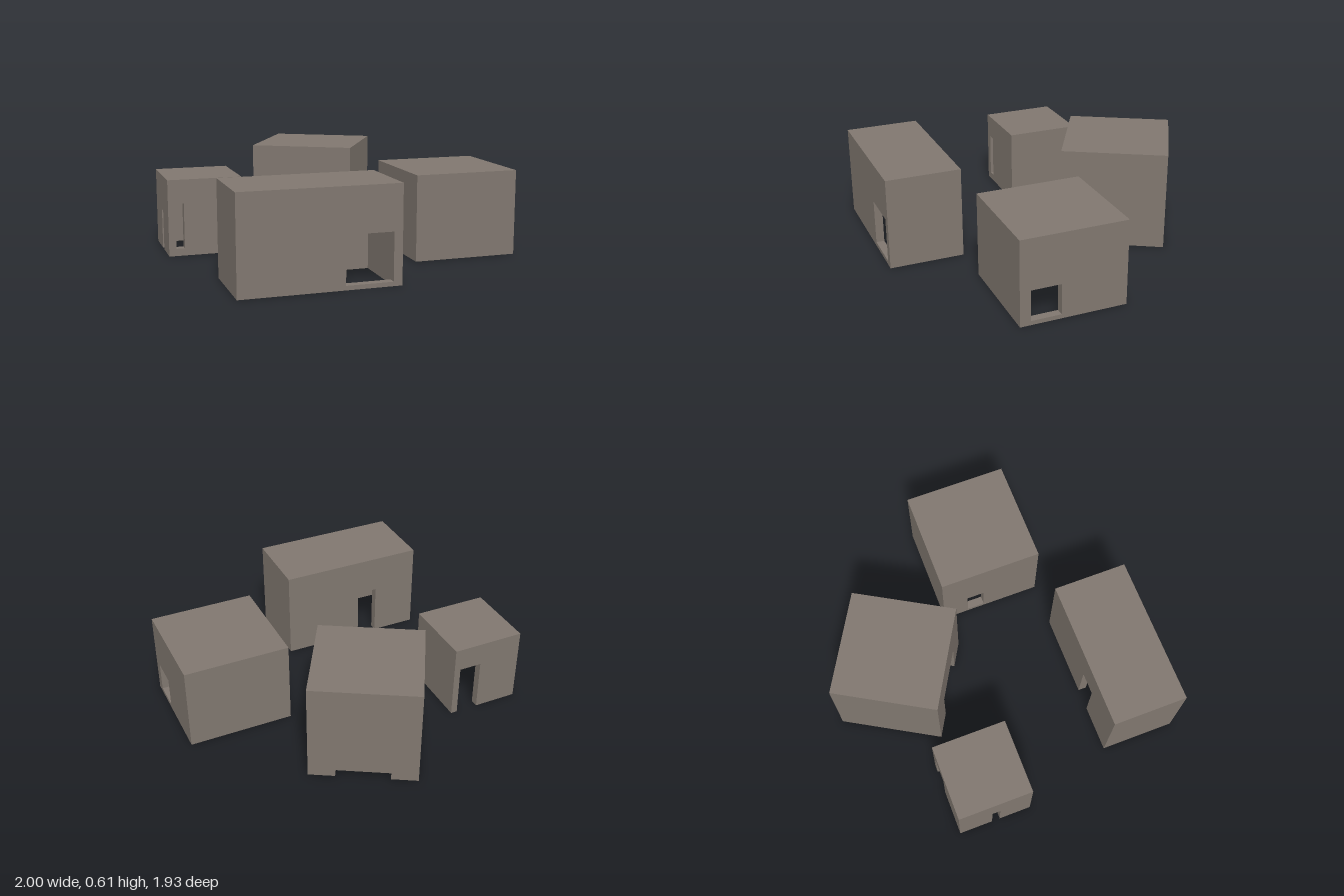
import * as THREE from 'three';

const T = 0.05; // wall and roof thickness
const material = new THREE.MeshStandardMaterial({ color: 0x80776f, flatShading: true });

// Pulls the inner layer of a slab inwards so that neighbouring slabs meet in a mitre.
function mitre(geometry, isInner, limits) {
  const p = geometry.attributes.position;
  for (let i = 0; i < p.count; i++) {
    if (!isInner(p, i)) continue;
    for (const [axis, min, max] of limits) {
      p.setComponent(i, axis, THREE.MathUtils.clamp(p.getComponent(i, axis), min, max));
    }
  }
  geometry.computeVertexNormals();
  return geometry;
}

// Wall facing +z, outer face at z = 0. Openings are [u0, u1, y0, y1];
// those starting at the ground are notches, the others are holes.
function wall(width, height, openings) {
  const w = width / 2;
  const shape = new THREE.Shape().moveTo(-w, 0);
  for (const [a, b, y0, y1] of openings) {
    if (y0 === 0) {
      shape.lineTo(a, 0).lineTo(a, y1).lineTo(b, y1).lineTo(b, 0);
    } else {
      shape.holes.push(new THREE.Path().moveTo(a, y0).lineTo(a, y1).lineTo(b, y1).lineTo(b, y0).closePath());
    }
  }
  shape.lineTo(w, 0).lineTo(w, height).lineTo(-w, height).closePath();
  const geometry = new THREE.ExtrudeGeometry(shape, { depth: T, bevelEnabled: false });
  geometry.translate(0, 0, -T);
  return mitre(geometry, (p, i) => p.getZ(i) < -T / 2, [[0, -w + T, w - T], [1, 0, height - T]]);
}

function roof(width, depth, height) {
  const geometry = new THREE.BoxGeometry(width, T, depth).toNonIndexed();
  geometry.translate(0, height - T / 2, 0);
  const w = width / 2 - T, d = depth / 2 - T;
  return mitre(geometry, (p, i) => p.getY(i) < height - T / 2, [[0, -w, w], [2, -d, d]]);
}

// Hollow building, open underneath
function building({ name, x, z, width, depth, height, turn = 0, openings }) {
  const group = new THREE.Group();
  group.name = name;
  group.position.set(x, 0, z);
  group.rotation.y = turn;
  const sides = [
    ['frontWall', width, depth, 0],
    ['leftWall', depth, width, Math.PI / 2],
    ['backWall', width, depth, Math.PI],
    ['rightWall', depth, width, -Math.PI / 2],
  ];
  for (const [side, length, across, angle] of sides) {
    const mesh = new THREE.Mesh(wall(length, height, openings[side] ?? []), material);
    mesh.name = side;
    mesh.rotation.y = angle;
    mesh.position.set(Math.sin(angle) * across / 2, 0, Math.cos(angle) * across / 2);
    group.add(mesh);
  }
  const top = new THREE.Mesh(roof(width, depth, height), material);
  top.name = 'roof';
  group.add(top);
  return group;
}

const BUILDINGS = [
  {
    name: 'longHouse', x: -0.365, z: 0.738, width: 0.91, depth: 0.455, height: 0.56,
    openings: { frontWall: [[0.135, 0.405, 0.025, 0.3]], backWall: [[0.045, 0.175, 0, 0.325]] },
  },
  {
    name: 'smallHouse', x: -0.775, z: -0.29, width: 0.45, depth: 0.455, height: 0.465,
    openings: {
      frontWall: [[-0.18, -0.13, 0.045, 0.32]],
      backWall: [[-0.185, -0.045, 0, 0.32]],
      rightWall: [[-0.02, 0.03, 0, 0.245]],
    },
  },
  {
    name: 'squareHouse', x: 0.68, z: 0.195, width: 0.64, depth: 0.635, height: 0.515,
    openings: { leftWall: [[-0.255, -0.075, 0.025, 0.21]], rightWall: [[-0.155, -0.045, 0.025, 0.2]] },
  },
  {
    name: 'turnedHouse', x: 0.045, z: -0.535, width: 0.636, depth: 0.636, height: 0.605, turn: -Math.PI / 6,
    openings: { frontWall: [[-0.16, 0.16, 0, 0.3]], backWall: [[-0.16, 0.16, 0, 0.045]] },
  },
];

export function createModel() {
  const model = new THREE.Group();
  model.name = 'houses';
  for (const spec of BUILDINGS) model.add(building(spec));
  return model;
}
